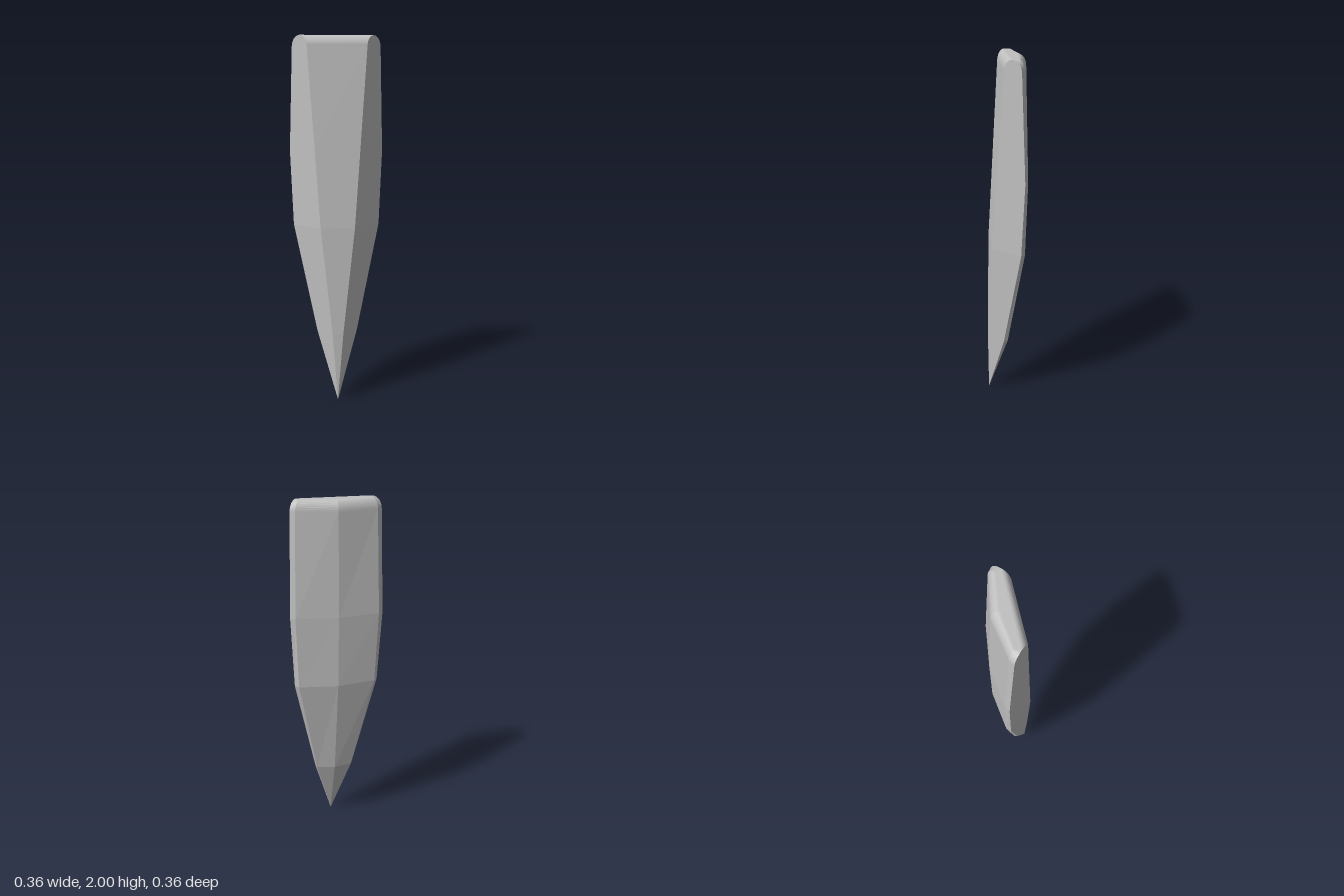
import * as THREE from 'three';

// Seven-point cross-section, mirrored about the diagonal x = -z:
// inner edge, end edge, bevel, outer ridge, then the reflected points.
function section({ y, e, a, b, cx, cz, r }) {
  const half = [[a, e], [b, e], [cx, cz]];
  const mirrored = half.map(([x, z]) => [-z, -x]).reverse();
  return [...half, [r, -r], ...mirrored].map(([x, z]) => new THREE.Vector3(x, y, z));
}

// Joins the sections into a closed skin
function loft(rings) {
  const pos = [];
  const tri = (p, q, s) => {
    const area = q.clone().sub(p).cross(s.clone().sub(p)).length();
    if (area > 1e-8) for (const v of [p, q, s]) pos.push(v.x, v.y, v.z);
  };
  const n = rings[0].length;
  for (let k = 0; k < rings.length - 1; k++) {
    const lo = rings[k], hi = rings[k + 1];
    for (let i = 0; i < n; i++) {
      const j = (i + 1) % n;
      tri(lo[i], lo[j], hi[j]);
      tri(lo[i], hi[j], hi[i]);
    }
  }
  const top = rings[rings.length - 1];
  for (let i = 1; i < n - 1; i++) tri(top[0], top[i], top[i + 1]);
  const g = new THREE.BufferGeometry();
  g.setAttribute('position', new THREE.Float32BufferAttribute(pos, 3));
  g.computeVertexNormals();
  return g;
}

export function createModel() {
  const grey = new THREE.MeshStandardMaterial({ color: 0xc0c0c0 });
  grey.name = 'light grey';

  // Pointed tip, widening body, straight upper body
  const levels = [
    { y: 0, e: 0.13, a: -0.13, b: -0.13, cx: -0.13, cz: 0.13, r: -0.13 },
    { y: 0.38, e: 0.15, a: -0.108, b: 0.008, cx: 0.02, cz: 0.13, r: -0.041 },
    { y: 0.97, e: 0.181, a: -0.049, b: 0.156, cx: 0.158, cz: 0.15, r: 0.026 },
    { y: 1.38, e: 0.181, a: -0.008, b: 0.182, cx: 0.177, cz: 0.15, r: 0.035 },
    { y: 1.94, e: 0.181, a: 0.048, b: 0.16, cx: 0.155, cz: 0.15, r: 0.028 },
  ];

  // Rounded top edge: both sides curl in towards a central crest
  const base = levels[levels.length - 1];
  const steps = 8;
  for (let i = 1; i <= steps; i++) {
    const t = (i / steps) * Math.PI / 2;
    const inset = 1 - Math.cos(t);
    levels.push({
      y: base.y + 0.06 * Math.sin(t),
      e: base.e,
      a: base.a + 0.056 * inset,
      b: base.b - 0.056 * inset,
      cx: base.cx - 0.04 * inset,
      cz: base.cz,
      r: base.r - 0.03 * inset,
    });
  }

  const blade = new THREE.Mesh(loft(levels.map(section)), grey);
  blade.name = 'taperedBlade';
  const group = new THREE.Group();
  group.name = 'pointedWedge';
  group.add(blade);
  return group;
}
